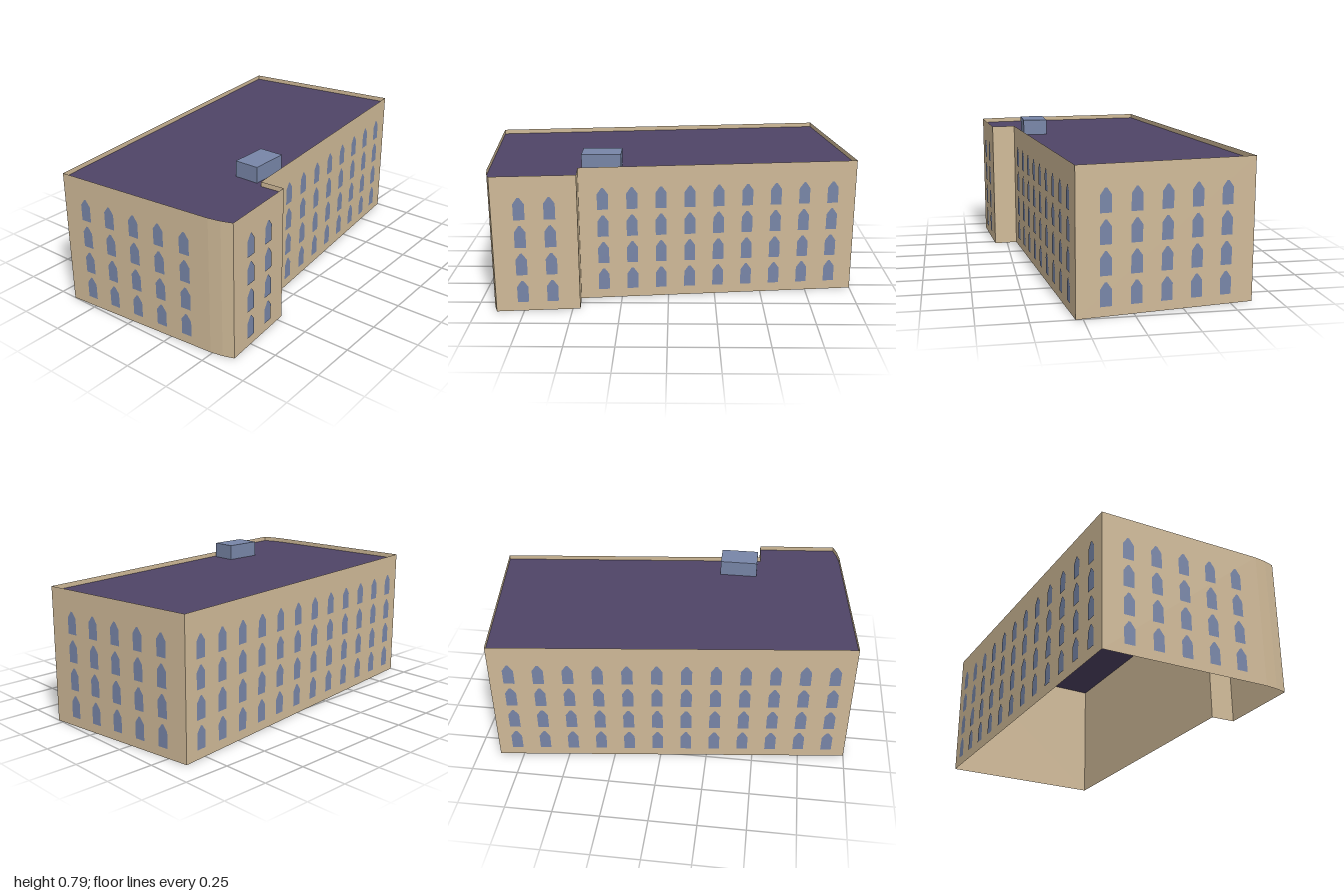
import * as THREE from 'three';

const HEIGHT = 0.73;
const ROOF_Y = 0.705;
const BAY = 0.1535; // window spacing along a wall
const STOREY = 0.15;

// Footprint corners (x, z), with the number of window bays on the wall that starts there
const FOOTPRINT = [
  { x: -0.925, z: 0.49, bays: 0 },
  { x: -0.912, z: 0.555, bays: 0 },
  { x: -0.892, z: 0.612, bays: 2 },
  { x: -0.46, z: 0.573, bays: 0 },
  { x: -0.468, z: 0.442, bays: 9 },
  { x: 1.0, z: 0.286, bays: 5 },
  { x: 0.88, z: -0.614, bays: 12 },
  { x: -1.0, z: -0.4, bays: 5 },
];

function windowGeometry() {
  const w = 0.029, tip = 0.005;
  return new THREE.ShapeGeometry(new THREE.Shape([
    new THREE.Vector2(-w, 0),
    new THREE.Vector2(w, 0),
    new THREE.Vector2(w, 0.085),
    new THREE.Vector2(tip, 0.119),
    new THREE.Vector2(-tip, 0.119),
    new THREE.Vector2(-w, 0.085),
  ]));
}

export function createModel() {
  const stone = new THREE.MeshStandardMaterial({ color: 0xd0ba98, side: THREE.DoubleSide });
  stone.name = 'sandstone';
  const glass = new THREE.MeshStandardMaterial({ color: 0x7886a8 });
  glass.name = 'blueGrey';
  const slate = new THREE.MeshStandardMaterial({ color: 0x4f4466, side: THREE.DoubleSide });
  slate.name = 'darkPurple';

  const model = new THREE.Group();
  model.name = 'building';
  const pane = windowGeometry();

  // Walls, each in a group whose local x runs along the wall and local z faces out
  FOOTPRINT.forEach((a, i) => {
    const b = FOOTPRINT[(i + 1) % FOOTPRINT.length];
    const dx = b.x - a.x, dz = b.z - a.z;
    const side = new THREE.Group();
    side.name = 'facade';
    side.position.set((a.x + b.x) / 2, 0, (a.z + b.z) / 2);
    side.rotation.y = Math.atan2(-dz, dx);

    const wall = new THREE.Mesh(new THREE.PlaneGeometry(Math.hypot(dx, dz), HEIGHT), stone);
    wall.name = 'wall';
    wall.position.y = HEIGHT / 2;
    side.add(wall);

    // Four storeys of pointed windows, centred on the wall
    for (let floor = 0; floor < 4; floor++) {
      for (let bay = 0; bay < a.bays; bay++) {
        const win = new THREE.Mesh(pane, glass);
        win.name = 'window';
        win.position.set((bay - (a.bays - 1) / 2) * BAY, 0.05 + floor * STOREY, 0.003);
        side.add(win);
      }
    }
    model.add(side);
  });

  // Flat roof, sunk a little below the parapet
  const outline = new THREE.Shape(FOOTPRINT.map(p => new THREE.Vector2(p.x, -p.z)));
  const roof = new THREE.Mesh(new THREE.ShapeGeometry(outline).rotateX(-Math.PI / 2), slate);
  roof.name = 'roof';
  roof.position.y = ROOF_Y;
  model.add(roof);

  // Rooftop plant box
  const boxHeight = 0.79 - ROOF_Y;
  const box = new THREE.Mesh(new THREE.BoxGeometry(0.205, boxHeight, 0.133), glass);
  box.name = 'rooftopBox';
  box.position.set(-0.348, ROOF_Y + boxHeight / 2, 0.336);
  model.add(box);

  return model;
}
